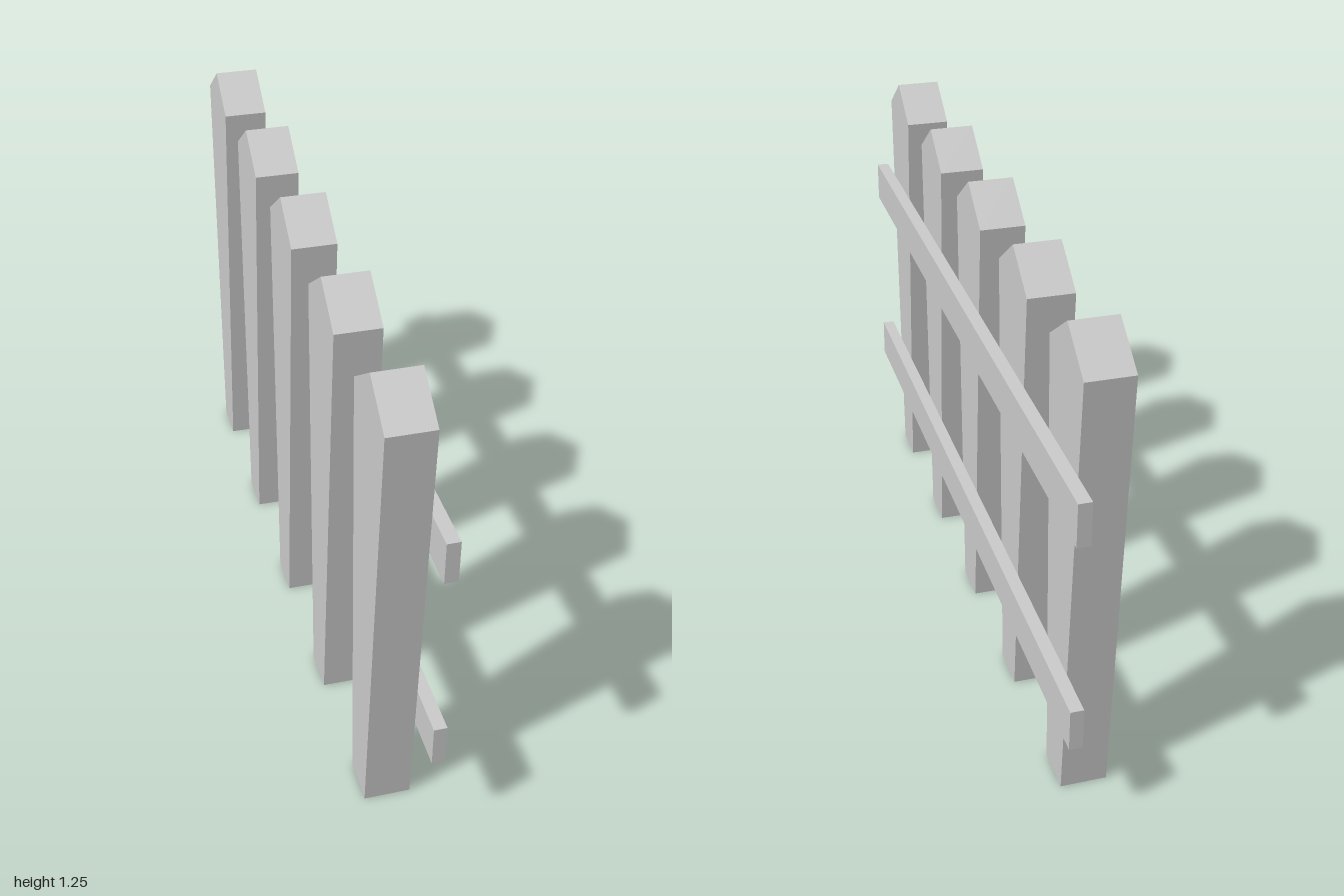
import * as THREE from 'three';

export function createModel() {
  const group = new THREE.Group();
  group.name = 'picketFence';
  const material = new THREE.MeshStandardMaterial({ color: 0xcccccc, flatShading: true });

  const back = -0.075, joint = 0.042, front = 0.075; // x of picket back, picket/rail contact, rail face

  // Pickets: tapered towards the ground, with a pointed top
  const outline = new THREE.Shape([
    [-0.057, 0], [0.057, 0], [0.115, 1.16], [0, 1.245], [-0.115, 1.16],
  ].map(([x, y]) => new THREE.Vector2(x, y)));
  const picketGeometry = new THREE.ExtrudeGeometry(outline, { depth: joint - back, bevelEnabled: false });
  picketGeometry.rotateY(Math.PI / 2); // extrusion now runs along +x
  for (let i = 0; i < 5; i++) {
    const picket = new THREE.Mesh(picketGeometry, material);
    picket.name = `picket${i + 1}`;
    picket.position.set(back, 0, (i - 2) * 0.4);
    group.add(picket);
  }

  // Rails: two long boards across the pickets
  const railGeometry = new THREE.BoxGeometry(front - joint, 0.11, 2);
  for (const [name, y] of [['lowerRail', 0.31], ['upperRail', 0.87]]) {
    const rail = new THREE.Mesh(railGeometry, material);
    rail.name = name;
    rail.position.set((joint + front) / 2, y, 0);
    group.add(rail);
  }

  return group;
}
